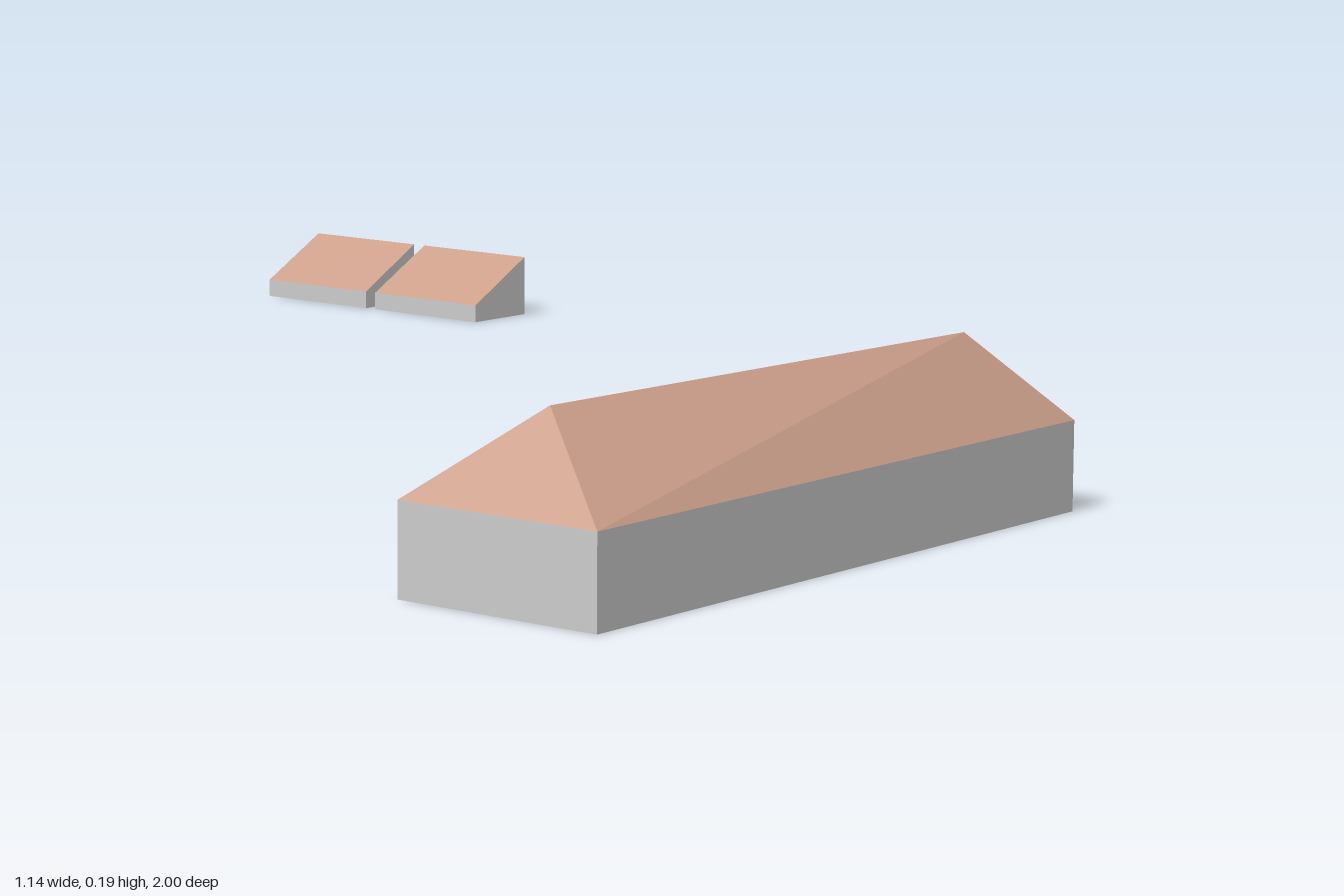
import * as THREE from 'three';

const wallMaterial = new THREE.MeshStandardMaterial({ color: 0xcccccc, flatShading: true, side: THREE.DoubleSide });
const roofMaterial = new THREE.MeshStandardMaterial({ color: 0xcc9f8a, flatShading: true, side: THREE.DoubleSide });

// Mesh from polygons, each a loop of corners split as a fan from its first corner
function polygonMesh(name, polygons, material) {
  const positions = [];
  for (const p of polygons) {
    for (let i = 1; i < p.length - 1; i++) positions.push(...p[0], ...p[i], ...p[i + 1]);
  }
  const geometry = new THREE.BufferGeometry();
  geometry.setAttribute('position', new THREE.Float32BufferAttribute(positions, 3));
  geometry.computeVertexNormals();
  const mesh = new THREE.Mesh(geometry, material);
  mesh.name = name;
  return mesh;
}

// Walls from the ground up to a closed loop of eave corners
function walls(name, eaves) {
  const ground = ([x, , z]) => [x, 0, z];
  const sides = eaves.map((p, i) => {
    const q = eaves[(i + 1) % eaves.length];
    return [ground(p), ground(q), q, p];
  });
  return polygonMesh(name, sides, wallMaterial);
}

// Long hall with a hipped roof and a small step at its right-hand end
function createHall() {
  const hall = new THREE.Group();
  hall.name = 'hall';
  const eave = 0.095, ridge = 0.187;
  const eaves = [[-0.57, 0.767], [-0.506, 0.997], [0.247, 0.787], [0.207, 0.646], [0.246, 0.634], [0.221, 0.547]]
    .map(([x, z]) => [x, eave, z]);
  const [backLeft, frontLeft, frontRight, notch, stepFront, backRight] = eaves;
  const ridgeLeft = [-0.461, ridge, 0.859];
  const ridgeRight = [0.148, ridge, 0.728];
  hall.add(walls('hallWalls', eaves));
  hall.add(polygonMesh('hallRoof', [
    [frontLeft, frontRight, ridgeRight, ridgeLeft],
    [backLeft, frontLeft, ridgeLeft],
    [backRight, backLeft, ridgeLeft, ridgeRight],
    [frontRight, notch, ridgeRight],
    [notch, backRight, ridgeRight],
    [notch, stepFront, backRight],
  ], roofMaterial));
  return hall;
}

// Small shed with a single-pitch roof rising to its right
function createShed(name, corners) {
  const shed = new THREE.Group();
  shed.name = name;
  const heights = [0.022, 0.022, 0.075, 0.075];
  const eaves = corners.map(([x, z], i) => [x, heights[i], z]);
  shed.add(walls(name + 'Walls', eaves));
  shed.add(polygonMesh(name + 'Roof', [eaves], roofMaterial));
  return shed;
}

export function createModel() {
  const model = new THREE.Group();
  model.name = 'buildings';
  model.add(createHall());
  model.add(createShed('backShed', [[0.379, -0.976], [0.425, -0.811], [0.517, -0.835], [0.472, -1.0]]));
  model.add(createShed('frontShed', [[0.429, -0.795], [0.474, -0.628], [0.567, -0.651], [0.522, -0.818]]));
  return model;
}
